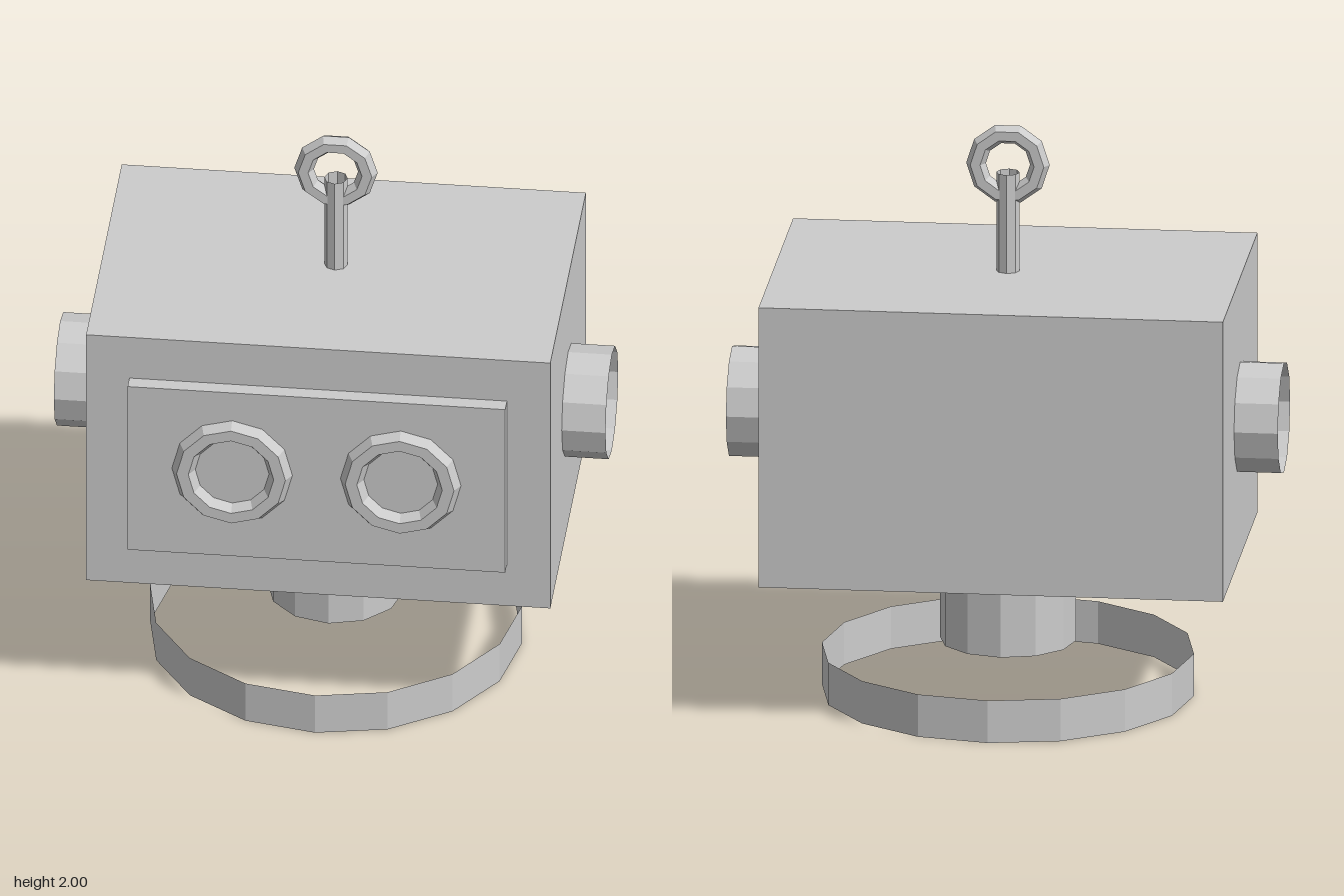
import * as THREE from 'three';

export function createModel() {
  const model = new THREE.Group();
  model.name = 'robotHead';
  // the tubes are open, so their insides show
  const grey = new THREE.MeshStandardMaterial({ color: 0xcccccc, flatShading: true, side: THREE.DoubleSide });
  grey.name = 'grey';

  function add(name, geometry, x, y, z) {
    const mesh = new THREE.Mesh(geometry, grey);
    mesh.name = name;
    mesh.position.set(x, y, z);
    model.add(mesh);
    return mesh;
  }
  const openTube = (radius, height, sides) =>
    new THREE.CylinderGeometry(radius, radius, height, sides, 1, true);

  // base ring and neck
  add('baseRing', openTube(0.635, 0.15, 16), 0, 0.075, 0);
  add('neck', openTube(0.233, 0.315, 12), 0, 0.3415, 0);

  // head and raised face plate
  add('head', new THREE.BoxGeometry(1.586, 0.99, 1.076), 0, 0.992, 0);
  add('facePlate', new THREE.BoxGeometry(1.29, 0.658, 0.056), 0, 0.994, 0.564);

  // eye rings and ear tubes, mirrored
  for (const side of [1, -1]) {
    const prefix = side > 0 ? 'left' : 'right';
    add(prefix + 'EyeRing', new THREE.TorusGeometry(0.166, 0.04, 6, 12), side * 0.288, 1.005, 0.592);
    const ear = add(prefix + 'Ear', openTube(0.193, 0.155, 12), side * 0.865, 0.995, 0);
    ear.rotation.z = Math.PI / 2;
  }

  // antenna post with a ring through its top
  add('antennaPost', openTube(0.04, 0.35, 8), 0, 1.66, 0);
  add('antennaRing', new THREE.TorusGeometry(0.109, 0.0335, 6, 10), 0, 1.8645, 0);

  return model;
}
